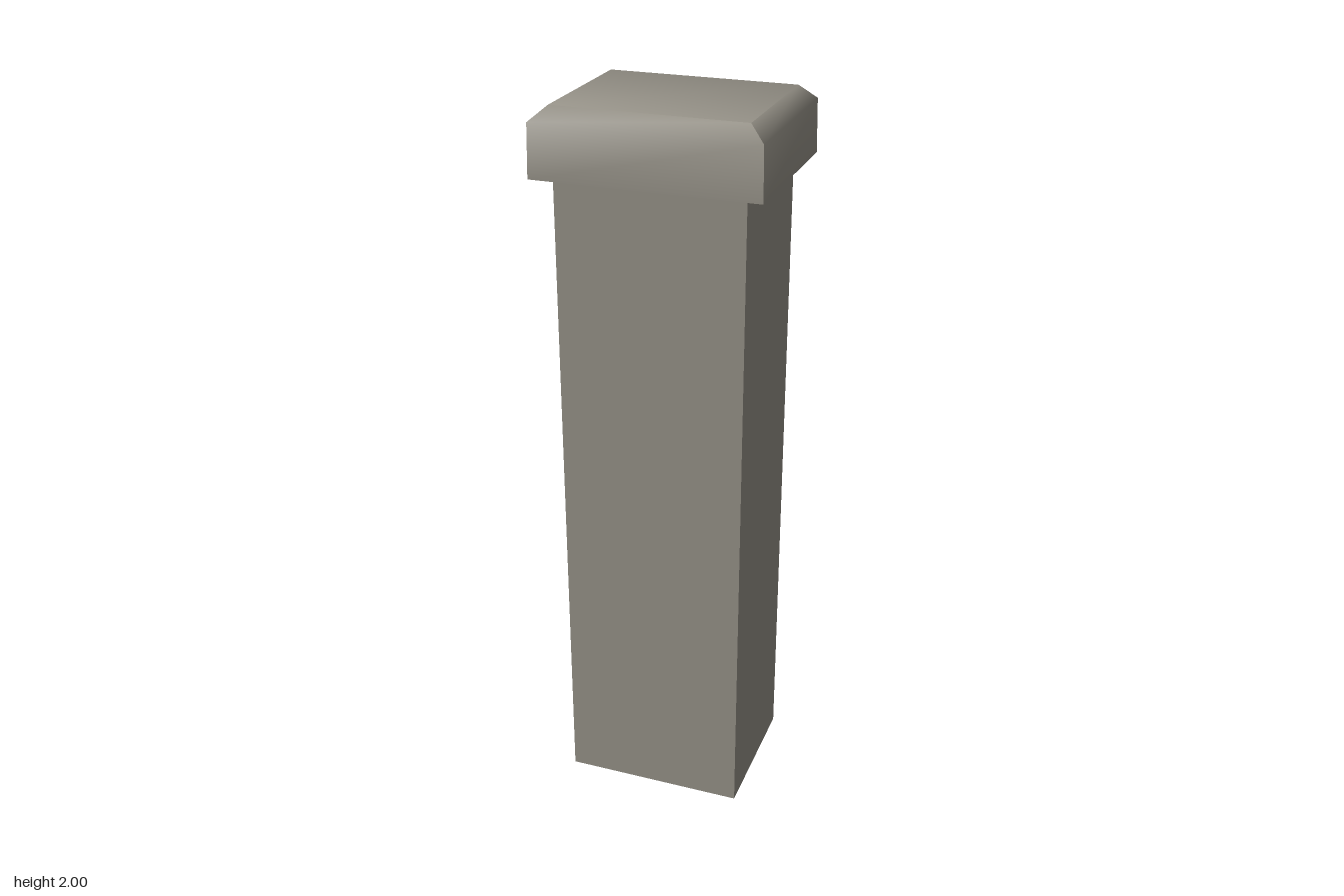
import * as THREE from 'three';
import { toCreasedNormals } from 'three/addons/utils/BufferGeometryUtils.js';

// Lofts rectangular rings [halfX, y, halfZ] from bottom to top; optionally closes the top.
function loftRings(rings, closeTop) {
  const corners = rings.map(([x, y, z]) => [[-x, y, z], [x, y, z], [x, y, -z], [-x, y, -z]]);
  const positions = [];
  const quad = (a, b, c, d) => positions.push(...a, ...b, ...c, ...a, ...c, ...d);
  for (let r = 0; r < corners.length - 1; r++) {
    for (let i = 0; i < 4; i++) {
      const j = (i + 1) % 4;
      quad(corners[r][i], corners[r][j], corners[r + 1][j], corners[r + 1][i]);
    }
  }
  if (closeTop) quad(...corners[corners.length - 1]);
  const geometry = new THREE.BufferGeometry();
  geometry.setAttribute('position', new THREE.Float32BufferAttribute(positions, 3));
  // Soft shoulder, sharp vertical corners
  return toCreasedNormals(geometry, THREE.MathUtils.degToRad(52));
}

export function createModel() {
  const stone = new THREE.MeshStandardMaterial({ color: 0x969288, side: THREE.DoubleSide });
  stone.name = 'stone';
  const group = new THREE.Group();
  group.name = 'pillar';

  const add = (name, geometry) => {
    const mesh = new THREE.Mesh(geometry, stone);
    mesh.name = name;
    group.add(mesh);
  };

  // Hollow shaft, open at the foot
  add('shaft', loftRings([[0.253, 0, 0.203], [0.253, 1.82, 0.203]], false));

  // Overhanging cap: underside ledge, upright sides, bevelled shoulder, flat top
  add('cap', loftRings([
    [0.253, 1.82, 0.203],
    [0.304, 1.82, 0.242],
    [0.301, 1.962, 0.24],
    [0.258, 2, 0.204],
  ], true));

  return group;
}
